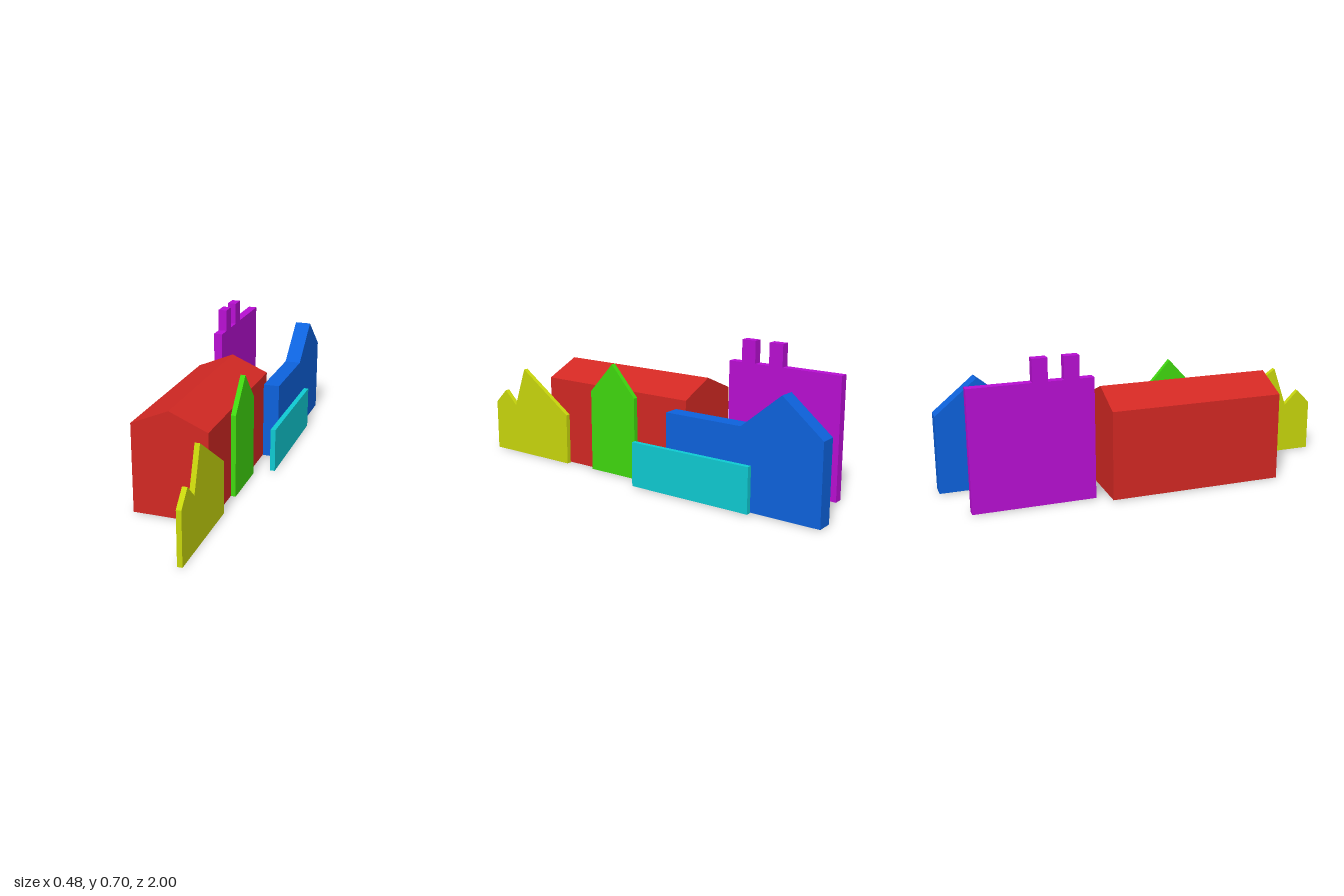
import * as THREE from 'three';

// Extrude a polygon outline by the given depth
function prism(points, depth) {
  const shape = new THREE.Shape(points.map(([u, v]) => new THREE.Vector2(u, v)));
  return new THREE.ExtrudeGeometry(shape, { depth, bevelEnabled: false });
}

// Slab with its outline in (z, y), reaching from x0 to x1
function sideSlab(points, x0, x1) {
  return prism(points, x1 - x0).rotateY(-Math.PI / 2).translate(x1, 0, 0);
}

export function createModel() {
  const group = new THREE.Group();
  const base = 0.003;

  function add(name, color, geometry) {
    const mesh = new THREE.Mesh(geometry, new THREE.MeshStandardMaterial({ color }));
    mesh.name = name;
    group.add(mesh);
  }

  // Long gabled hall, its ridge running along z
  add('gabledHall', 0xd22823, prism([
    [-0.241, base], [0.124, base], [0.124, 0.437], [-0.059, 0.515], [-0.241, 0.437],
  ], 0.86).translate(0, 0, -0.243));

  // Factory front with two chimneys
  add('chimneyFactory', 0xb80fd2, sideSlab([
    [-0.31, base], [-0.31, 0.595],
    [-0.38, 0.595], [-0.38, 0.705], [-0.453, 0.705], [-0.453, 0.595],
    [-0.528, 0.595], [-0.528, 0.705], [-0.6, 0.705], [-0.6, 0.595],
    [-0.9, 0.595], [-0.9, base],
  ], -0.184, -0.14));

  // Flat-roofed wing joined to a gabled house
  add('wingedHouse', 0x0d62dc, sideSlab([
    [-0.19, base], [-0.19, 0.39], [-0.595, 0.39], [-0.797, 0.557], [-1, 0.39], [-1, base],
  ], 0.125, 0.205));

  // Narrow pointed house
  add('pointedHouse', 0x40d80f, sideSlab([
    [0.32, base], [0.32, 0.41], [0.183, 0.562], [0.046, 0.41], [0.046, base],
  ], 0.124, 0.148));

  // House with one small and one large uneven gable
  add('doubleGableHouse', 0xc8d60c, sideSlab([
    [1, 0], [1, 0.258], [0.93, 0.33], [0.856, 0.258], [0.785, 0.462], [0.49, 0.258], [0.49, 0],
  ], 0.126, 0.15));

  // Low flat wall
  add('lowWall', 0x0fcad2, sideSlab([
    [-0.014, 0.005], [-0.014, 0.224], [-0.66, 0.224], [-0.66, 0.005],
  ], 0.216, 0.241));

  return group;
}
